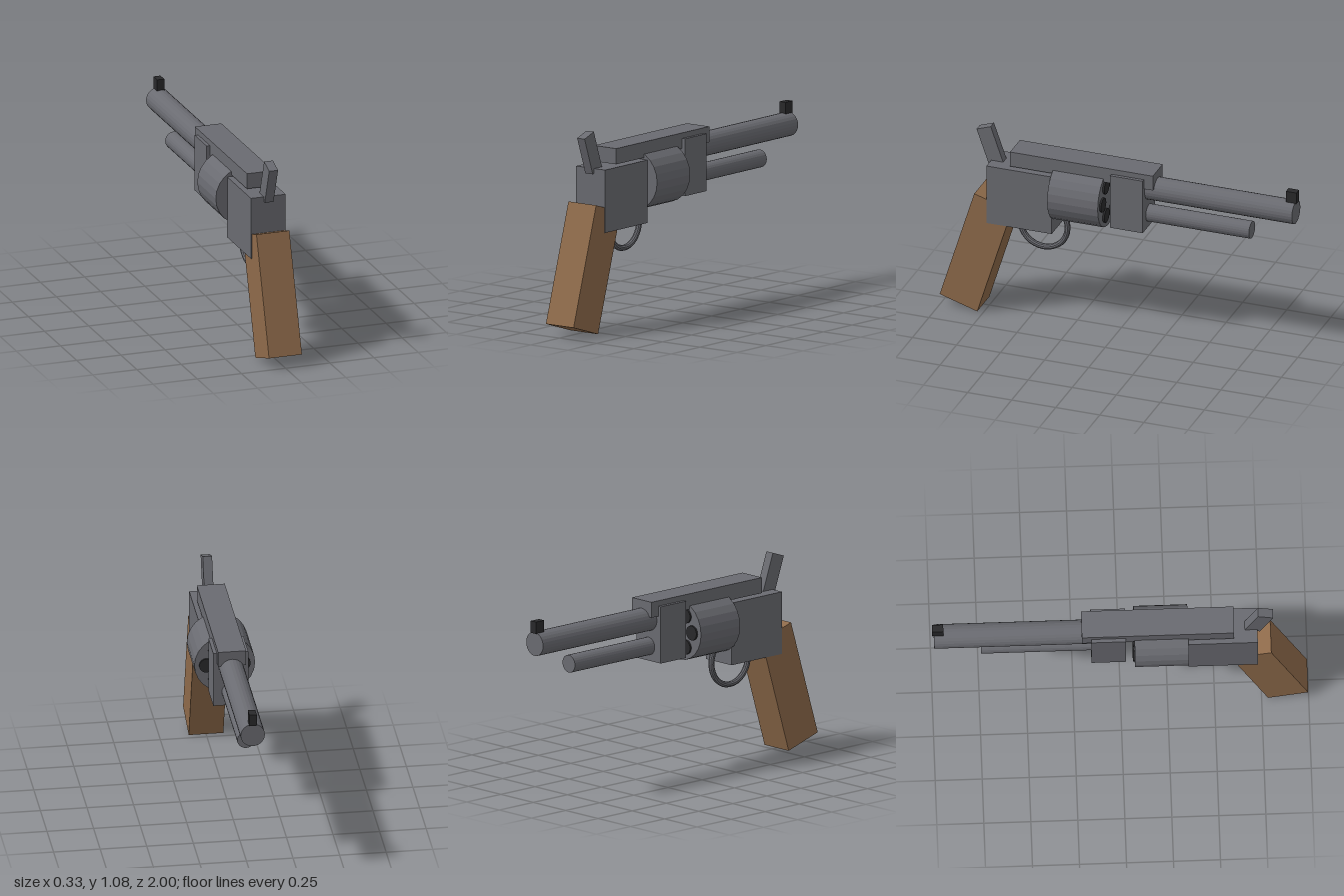
import * as THREE from 'three';

export function createModel() {
  const model = new THREE.Group();
  model.name = 'revolver';

  const mat = (name, color) => {
    const m = new THREE.MeshStandardMaterial({ color, flatShading: true });
    m.name = name;
    return m;
  };
  const steel = mat('steel grey', 0x6a6b71);
  const wood = mat('walnut brown', 0x8e6a4a);
  const dark = mat('dark metal', 0x29292b);

  const add = (name, geometry, material, x, y, z, tilt = 0) => {
    const mesh = new THREE.Mesh(geometry, material);
    mesh.name = name;
    mesh.position.set(x, y, z);
    mesh.rotation.x = tilt;
    model.add(mesh);
    return mesh;
  };
  // Block given by its width and its y and z ranges
  const block = (name, material, w, y0, y1, z0, z1) =>
    add(name, new THREE.BoxGeometry(w, y1 - y0, z1 - z0), material, 0, (y0 + y1) / 2, (z0 + z1) / 2);
  // Round bar lying along z
  const bar = (name, material, r, x, y, z0, z1, sides = 24) =>
    add(name, new THREE.CylinderGeometry(r, r, z1 - z0, sides).rotateX(Math.PI / 2), material, x, y, (z0 + z1) / 2);

  // Body
  block('frame', steel, 0.196, 0.54, 0.88, 0.36, 0.73);
  block('barrelBlock', steel, 0.188, 0.635, 0.945, -0.155, 0.03);
  block('topStrap', steel, 0.15, 0.89, 0.975, -0.205, 0.605);

  // Barrel, rod below it and front sight
  bar('barrel', steel, 0.065, 0, 0.865, -0.99, 0);
  bar('ejectorRod', steel, 0.048, 0, 0.715, -0.74, 0);
  block('frontSight', dark, 0.04, 0.925, 0.99, -1, -0.94);

  // Drum with six chambers
  const drumY = 0.765;
  bar('drum', steel, 0.163, 0, drumY, 0.075, 0.362);
  for (let i = 0; i < 6; i++) {
    const a = (i * Math.PI) / 3;
    bar('chamber', dark, 0.04, Math.cos(a) * 0.098, drumY + Math.sin(a) * 0.098, 0.065, 0.1, 16);
  }

  // Hammer, grip and trigger guard
  add('hammer', new THREE.BoxGeometry(0.05, 0.213, 0.085), steel, 0, 0.965, 0.738, 0.34);
  add('grip', new THREE.BoxGeometry(0.186, 0.663, 0.223), wood, 0, 0.35, 0.793, -0.3);
  const guard = add('triggerGuard', new THREE.TorusGeometry(0.134, 0.016, 10, 32), steel, 0, 0.54, 0.44);
  guard.rotation.y = Math.PI / 2;

  return model;
}
